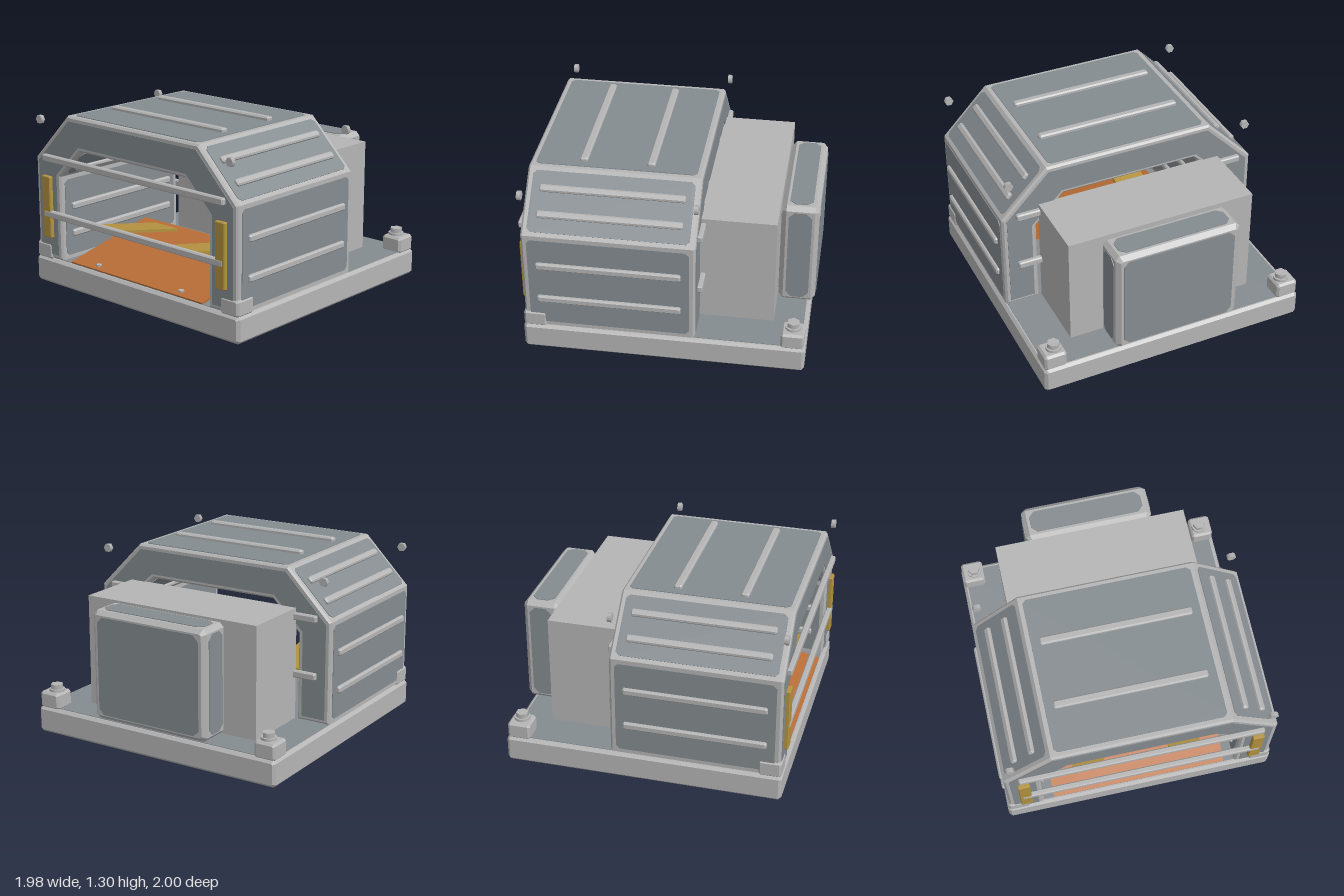
import * as THREE from 'three';

const mat = (name, color) => {
  const m = new THREE.MeshStandardMaterial({ color });
  m.name = name;
  return m;
};

const polygon = (pts) => new THREE.Shape(pts.map(([x, y]) => new THREE.Vector2(x, y)));

// Rectangle with cut corners
function cutRect(w, h, c) {
  const x = w / 2, y = h / 2;
  return polygon([[-x + c, -y], [x - c, -y], [x, -y + c], [x, y - c],
    [x - c, y], [-x + c, y], [-x, y - c], [-x, -y + c]]);
}

// Extrusion with a single chamfer kept inside the outline, centred in depth
function chamferExtrude(shape, depth, b) {
  const g = new THREE.ExtrudeGeometry(shape, {
    depth: depth - 2 * b, bevelEnabled: b > 0, bevelSegments: 1,
    bevelSize: b, bevelThickness: b, bevelOffset: -b,
  });
  return g.translate(0, 0, -(depth - 2 * b) / 2);
}

const bevelBox = (w, h, d, b) => chamferExtrude(cutRect(w, h, b), d, b);

export function createModel() {
  const light = mat('light grey frame', 0xb5b5b5);
  const dark = mat('slate panel', 0x858c90);
  const amber = mat('amber', 0xb39240);
  const orange = mat('orange ramp', 0xb86d36);
  const model = new THREE.Group();

  function add(name, geometry, material, x = 0, y = 0, z = 0, parent = model) {
    const m = new THREE.Mesh(geometry, material);
    m.name = name;
    m.position.set(x, y, z);
    parent.add(m);
    return m;
  }
  const plate = (w, h, c) => chamferExtrude(cutRect(w, h, c), 0.009, 0);

  // Base slab with top and bottom panels
  add('base', bevelBox(1.96, 0.19, 1.95, 0.02), light, 0, 0.1, 0.005);
  add('baseTopPanel', plate(1.9, 1.89, 0.02), dark, 0, 0.194, 0.005).rotation.x = -Math.PI / 2;
  add('baseBottomPanel', plate(1.9, 1.89, 0.02), dark, 0, 0.005, 0.005).rotation.x = Math.PI / 2;

  // Arched tunnel shell
  const zMid = 0.375, shellDepth = 1.18;
  const outer = [[0.96, 0.2], [0.96, 0.93], [0.62, 1.275], [-0.62, 1.275], [-0.96, 0.93], [-0.96, 0.2]];
  const inner = [[-0.71, 0.2], [-0.71, 0.82], [-0.5, 1.035], [0.5, 1.035], [0.71, 0.82], [0.71, 0.2]];
  add('tunnelShell', chamferExtrude(polygon([...outer, ...inner]), shellDepth, 0.014), light, 0, 0, zMid);

  // Dark arch panels on the front and back faces
  const archPanel = polygon([
    [0.925, 0.23], [0.925, 0.915], [0.605, 1.24], [-0.605, 1.24], [-0.925, 0.915], [-0.925, 0.23],
    [-0.745, 0.23], [-0.745, 0.835], [-0.515, 1.065], [0.515, 1.065], [0.745, 0.835], [0.745, 0.23],
  ]);
  for (const s of [1, -1]) {
    add('archPanel', chamferExtrude(archPanel, 0.009, 0), dark, 0, 0, zMid + s * shellDepth / 2);
  }

  // Panel and ribs on each straight run of the shell; ribs are offsets along the run
  function dressRun(a, b, ribs, side, acrossTop) {
    const A = new THREE.Vector3(a[0], a[1], zMid), B = new THREE.Vector3(b[0], b[1], zMid);
    const length = A.distanceTo(B);
    const t = B.clone().sub(A).normalize();
    const n = new THREE.Vector3(t.y, -t.x, 0);
    const run = new THREE.Group();
    run.name = side + 'Run';
    run.applyMatrix4(new THREE.Matrix4().makeBasis(t, n.clone().cross(t), n));
    run.position.copy(A.add(B).multiplyScalar(0.5));
    add(side + 'Panel', plate(length - 0.06, 1.1, 0.025), dark, 0, 0, 0, run);
    for (const r of ribs) {
      if (acrossTop) add('topRib', bevelBox(1.06, 0.055, 0.06, 0.01), light, 0, r, 0, run);
      else add(side + 'Rib', bevelBox(0.05, 0.99, 0.055, 0.01), light, r, 0, 0, run);
    }
    model.add(run);
  }
  const outerRibs = [[-0.135, 0.135], [-0.09, 0.09], [-0.23, 0.23], [-0.09, 0.09], [-0.135, 0.135]];
  const innerRibs = [[-0.12, 0.08], [-0.06], [-0.39, -0.17, 0.17, 0.39], [0.06], [-0.08, 0.12]];
  for (let i = 0; i < 5; i++) {
    dressRun(outer[i], outer[i + 1], outerRibs[i], 'outer', i === 2);
    dressRun(inner[i], inner[i + 1], innerRibs[i], 'inner', false);
  }

  // Cross rails and loose hex bolts at both ends of the tunnel
  const hex = (r, h) => new THREE.CylinderGeometry(r, r, h, 6);
  for (const z of [0.98, -0.23]) {
    for (const y of [0.945, 0.535]) add('crossRail', bevelBox(1.72, 0.05, 0.04, 0.008), light, 0, y, z);
    for (const x of [-0.9, 0.9]) {
      const bolt = add('hexBolt', hex(0.032, 0.03), light, x, 1.21, z > 0 ? 0.965 : -0.215);
      bolt.rotation.set(Math.PI / 2, Math.PI / 6, 0);
    }
  }

  for (const s of [-1, 1]) {
    // Amber lamps on the arch legs
    add('lamp', bevelBox(0.085, 0.455, 0.035, 0.006), amber, s * 0.832, 0.585, 0.98);
    // Corner lugs with hex heads
    for (const z of [0.895, -0.88]) {
      add('cornerLug', bevelBox(0.16, 0.12, 0.16, 0.015), light, s * 0.892, 0.245, z);
      add('lugWasher', new THREE.CylinderGeometry(0.055, 0.055, 0.02, 16), light, s * 0.88, 0.312, z);
      add('lugBolt', hex(0.045, 0.04), light, s * 0.88, 0.335, z).rotation.y = Math.PI / 6;
    }
    // Tilted amber guides above the ramp and small ramp bolts
    add('guide', new THREE.BoxGeometry(0.23, 0.02, 0.61), amber, s * 0.35, 0.43, 0.57).rotation.x = -0.2;
    add('rampBolt', hex(0.022, 0.02), light, s * 0.4, 0.218, 0.9);
  }

  // Entry ramp, rising toward the rear
  const rampAngle = Math.atan2(0.165, 0.75);
  add('ramp', new THREE.BoxGeometry(1.27, 0.015, 0.768), orange, 0, 0.282, 0.575).rotation.x = rampAngle;

  // Rear housing
  add('rearHousing', new THREE.BoxGeometry(1.38, 0.8, 0.52), light, 0, 0.6, -0.47);

  // Rear pack with a panel on every exposed face
  const pack = new THREE.Group();
  pack.name = 'rearPack';
  pack.position.set(0, 0.605, -0.867);
  model.add(pack);
  add('packBody', bevelBox(0.92, 0.78, 0.256, 0.03), light, 0, 0, 0, pack);
  add('packBackPanel', plate(0.82, 0.7, 0.04), dark, 0, 0, -0.1285, pack).rotation.y = Math.PI;
  add('packFrontPanel', plate(0.82, 0.7, 0.04), dark, 0, 0, 0.1285, pack);
  for (const s of [-1, 1]) {
    add('packSidePanel', plate(0.16, 0.7, 0.04), dark, s * 0.46, 0, 0, pack).rotation.y = s * Math.PI / 2;
    add('packEndPanel', plate(0.82, 0.16, 0.04), dark, 0, s * 0.39, 0, pack).rotation.x = -s * Math.PI / 2;
  }
  return model;
}
